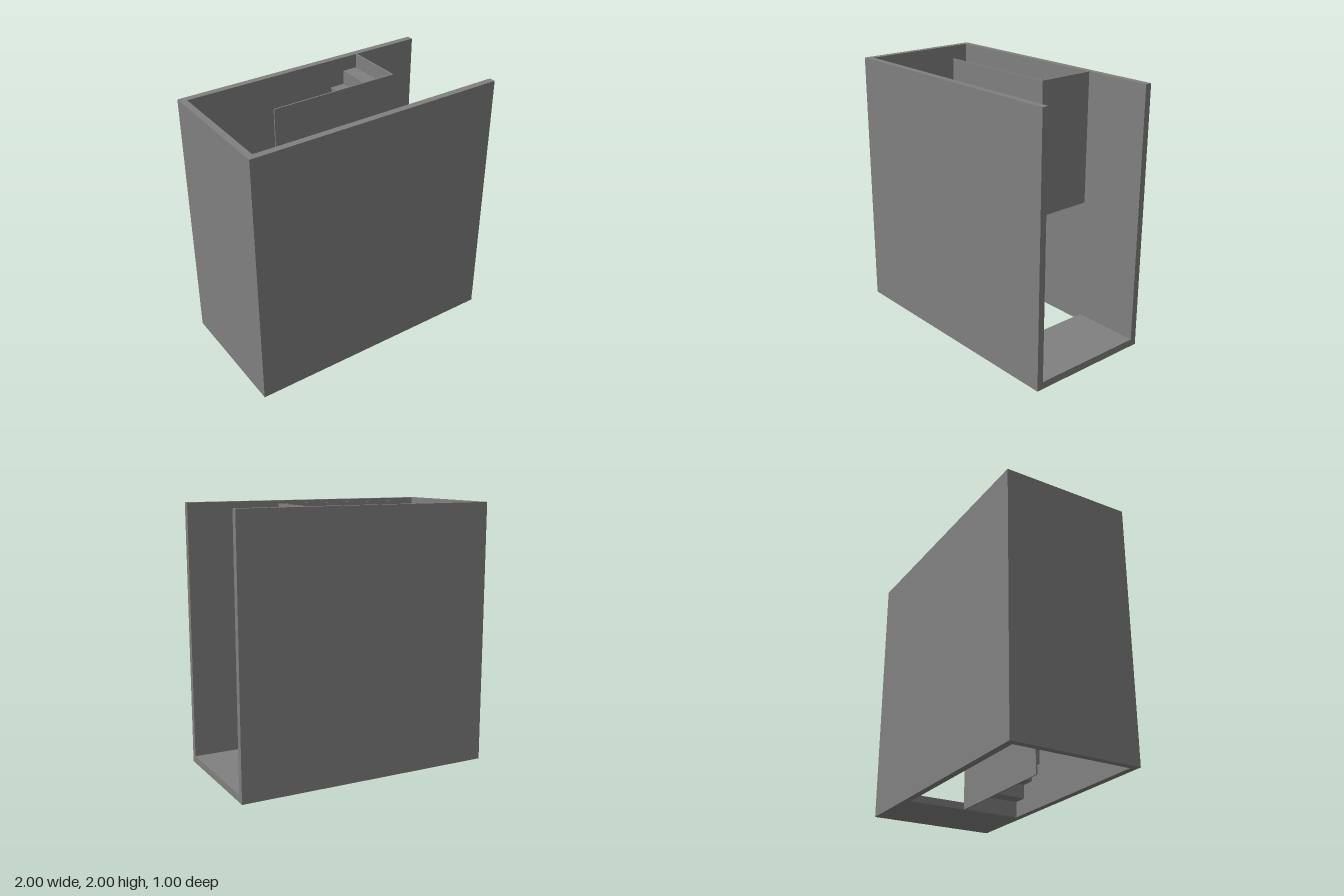
import * as THREE from 'three';

export function createModel() {
  const group = new THREE.Group();
  const concrete = new THREE.MeshStandardMaterial({ color: 0x808080 });
  concrete.name = 'concreteGrey';

  // Box given by its limits on each axis
  const slab = (name, [x0, x1], [y0, y1], [z0, z1]) => {
    const mesh = new THREE.Mesh(new THREE.BoxGeometry(x1 - x0, y1 - y0, z1 - z0), concrete);
    mesh.position.set((x0 + x1) / 2, (y0 + y1) / 2, (z0 + z1) / 2);
    mesh.name = name;
    group.add(mesh);
  };

  // Shaft walls on three sides, open towards +x
  slab('frontWall', [-1, 1], [0, 2], [0.45, 0.5]);
  slab('backWall', [-1, 1], [0, 2], [-0.5, -0.45]);
  slab('endWall', [-1, -0.95], [0, 2], [-0.45, 0.45]);

  // Entrance floor, half landing and thin wall between the flights
  slab('entranceFloor', [0.47, 1], [0, 0.055], [-0.45, 0.45]);
  slab('landing', [-0.943, -0.45], [0.99, 1], [-0.45, 0.45]);
  slab('spineWall', [-0.53, 0.47], [0, 2], [-0.005, 0.005]);

  // Flight of nine risers as a thin folded sheet, hollow underneath
  const count = 9, run = 0.91 / 8, rise = 0.1085, thick = 0.01;
  const flight = (name, startX, dir, baseY, z0, z1) => {
    const upper = [], lower = [];
    for (let i = 0; i < count; i++) {
      const x = startX + dir * run * i;
      const top = baseY + 1 - rise * (count - 1 - i);
      const bottom = i === 0 ? baseY : top - rise;
      upper.push(new THREE.Vector2(x, bottom), new THREE.Vector2(x, top));
      lower.push(
        new THREE.Vector2(x + dir * thick, i === 0 ? bottom : bottom - thick),
        new THREE.Vector2(x + dir * thick, i === count - 1 ? top : top - thick));
    }
    const shape = new THREE.Shape([...upper, ...lower.reverse()]);
    const geometry = new THREE.ExtrudeGeometry(shape, { depth: z1 - z0, bevelEnabled: false });
    const mesh = new THREE.Mesh(geometry, concrete);
    mesh.position.z = z0;
    mesh.name = name;
    group.add(mesh);
  };
  flight('lowerFlight', 0.46, -1, 0, 0.005, 0.45);
  flight('upperFlight', -0.45, 1, 1, -0.45, -0.005);

  // Plate closing the high end of the upper flight
  slab('upperFlightEnd', [0.461, 0.471], [1, 2], [-0.45, 0.005]);

  return group;
}
